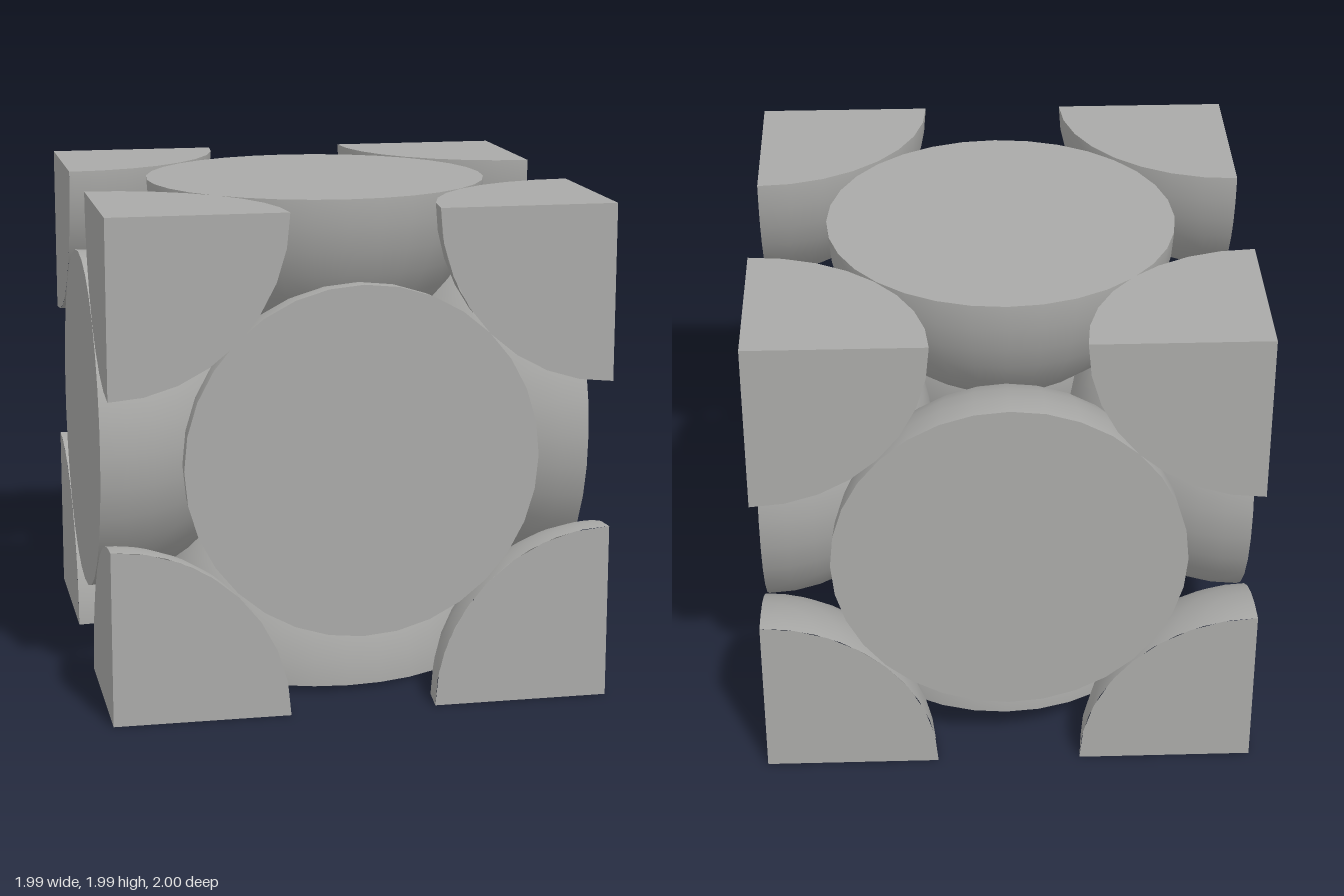
import * as THREE from 'three';
import { mergeGeometries } from 'three/addons/utils/BufferGeometryUtils.js';

const R = 0.7;

// Half ball: dome towards +y, flat cut facing -y
function halfBall() {
  const dome = new THREE.SphereGeometry(R, 32, 10, 0, Math.PI * 2, 0, Math.PI / 2);
  const cut = new THREE.CircleGeometry(R, 32).rotateX(Math.PI / 2);
  return mergeGeometries([dome, cut]);
}

// Eighth of a ball in the +x +y +z octant, with its three flat cuts
function eighthBall() {
  const parts = [new THREE.SphereGeometry(R, 8, 10, Math.PI / 2, Math.PI / 2, 0, Math.PI / 2)];
  const diagonal = new THREE.Vector3(1, 1, 1).normalize();
  for (let i = 0; i < 3; i++) {
    const cut = new THREE.CircleGeometry(R, 8, Math.PI / 2, Math.PI / 2).rotateY(Math.PI);
    cut.applyMatrix4(new THREE.Matrix4().makeRotationAxis(diagonal, (i * Math.PI * 2) / 3));
    parts.push(cut);
  }
  return mergeGeometries(parts);
}

export function createModel() {
  const group = new THREE.Group();
  const grey = new THREE.MeshStandardMaterial({ color: 0xaaaaa8 });
  grey.name = 'grey';

  // Half balls centred on the six faces, domes pointing inwards
  const half = halfBall();
  const faces = [
    ['frontHalfBall', [-0.01, 1, 0.98], [0, 0, -1]],
    ['backHalfBall', [-0.01, 1, -1], [0, 0, 1]],
    ['leftHalfBall', [0.98, 1, 0], [-1, 0, 0]],
    ['rightHalfBall', [-1, 1, 0], [1, 0, 0]],
    ['topHalfBall', [-0.01, 1.985, -0.01], [0, -1, 0]],
    ['bottomHalfBall', [-0.01, 0, 0], [0, 1, 0]],
  ];
  const up = new THREE.Vector3(0, 1, 0);
  for (const [name, position, inward] of faces) {
    const mesh = new THREE.Mesh(half, grey);
    mesh.name = name;
    mesh.position.set(...position);
    mesh.quaternion.setFromUnitVectors(up, new THREE.Vector3(...inward));
    group.add(mesh);
  }

  // Eighth balls in the eight corners, rounded sides pointing inwards
  const eighth = eighthBall();
  for (const flip of [0, Math.PI]) {
    for (let k = 0; k < 4; k++) {
      const mesh = new THREE.Mesh(eighth, grey);
      mesh.rotation.set(flip, (k * Math.PI) / 2, 0, 'YXZ');
      const inward = new THREE.Vector3(1, 1, 1).applyEuler(mesh.rotation);
      const left = inward.x < 0, top = inward.y < 0, front = inward.z < 0;
      const xLeft = top && !front ? 0.99 : 0.98;
      mesh.position.set(left ? xLeft : -1, top ? 1.988 : 0, front ? 1 : -1);
      mesh.name = `${top ? 'top' : 'bottom'}${front ? 'Front' : 'Back'}${left ? 'Left' : 'Right'}Corner`;
      group.add(mesh);
    }
  }
  return group;
}
